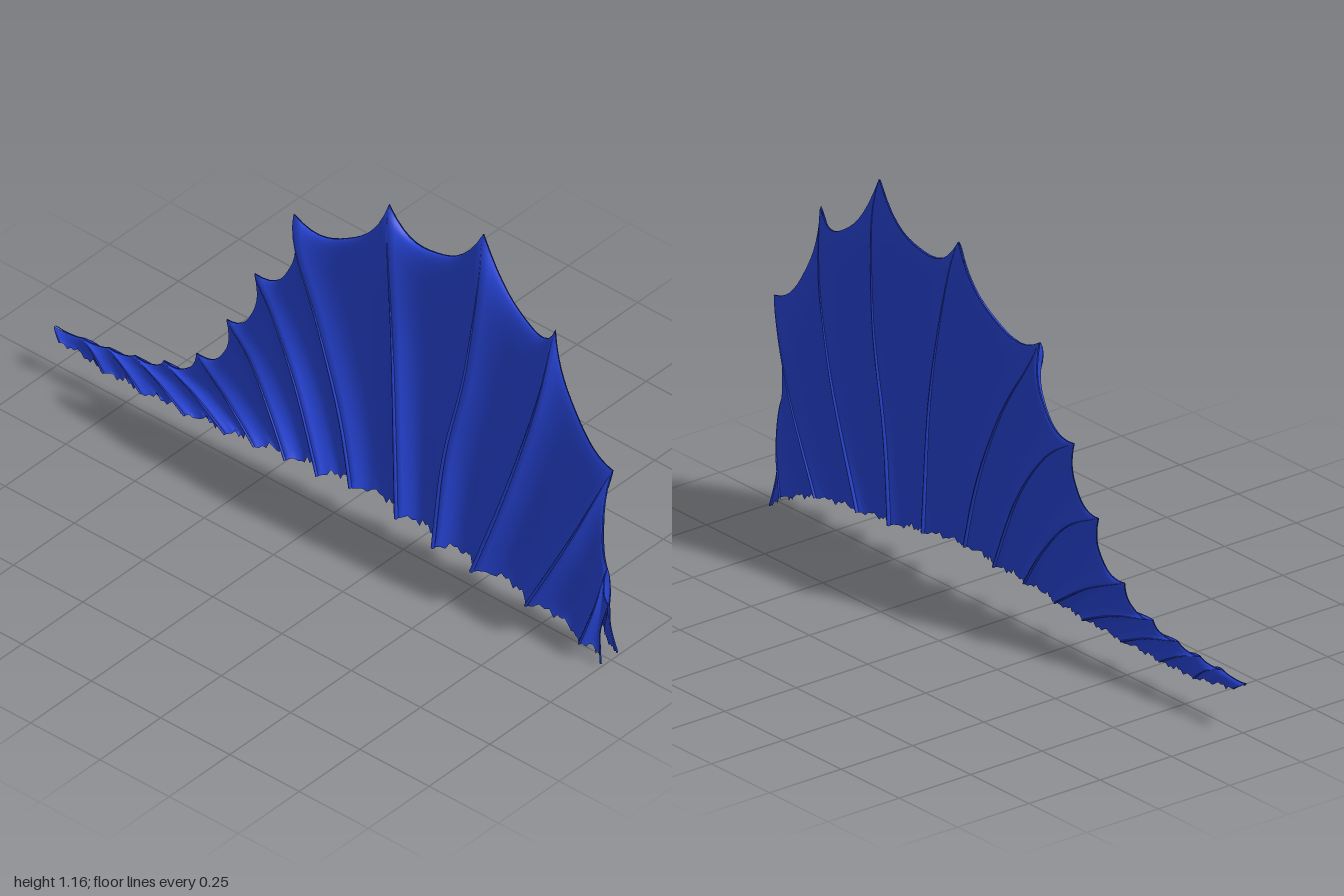
import * as THREE from 'three';

// Fin rays from front to back: [z, y] points from base to tip
const rays = [
  [[0.99, 0.005], [0.98, 0.1], [1.0, 0.2]],
  [[0.93, 0.055], [0.965, 0.18], [0.985, 0.31]],
  [[0.76, 0.115], [0.88, 0.37], [0.985, 0.63]],
  [[0.57, 0.14], [0.66, 0.43], [0.735, 0.75], [0.755, 0.98]],
  [[0.43, 0.15], [0.445, 0.45], [0.485, 0.72], [0.5, 1.02], [0.48, 1.16]],
  [[0.29, 0.175], [0.26, 0.5], [0.22, 0.75], [0.17, 0.99], [0.14, 1.09]],
  [[0.12, 0.19], [0.06, 0.4], [-0.05, 0.65], [-0.155, 0.82], [-0.19, 0.9]],
  [[0.0, 0.17], [-0.1, 0.4], [-0.22, 0.57], [-0.32, 0.64]],
  [[-0.12, 0.16], [-0.2, 0.28], [-0.3, 0.39], [-0.41, 0.445]],
  [[-0.24, 0.14], [-0.37, 0.225], [-0.51, 0.285]],
  [[-0.35, 0.125], [-0.48, 0.18], [-0.62, 0.21]],
  [[-0.5, 0.11], [-0.61, 0.155], [-0.72, 0.18]],
  [[-0.66, 0.103], [-0.74, 0.145], [-0.81, 0.165]],
  [[-0.8, 0.1], [-0.85, 0.14], [-0.9, 0.155]],
  [[-0.96, 0.122], [-0.98, 0.135], [-1.0, 0.147]],
].map(r => new THREE.SplineCurve(r.map(p => new THREE.Vector2(...p))));

// Scallop offset [z, y] at the middle of the free edge of each panel
const sags = [
  [-0.015, -0.02], [-0.025, -0.02], [-0.03, -0.055], [0.02, -0.115], [0, -0.115],
  [0.02, -0.09], [0.055, -0.06], [0.04, -0.04], [0.04, -0.04], [0.02, -0.03],
  [0.012, -0.016], [0, -0.01], [0, -0.008], [0, -0.006],
];

// x of the tip, left base and right base for each ray
const tipX = [-0.01, 0, 0.025, 0.05, 0.068, 0.068, 0.052, 0.037, 0.025, 0.015, 0.005, 0, -0.005, -0.01, -0.012];
const leftX = [0.035, 0.05, 0.065, 0.072, 0.075, 0.07, 0.062, 0.058, 0.05, 0.04, 0.032, 0.02, 0.015, 0.01, 0];
const rightX = [-0.03, -0.052, -0.078, -0.085, -0.083, -0.075, -0.07, -0.07, -0.065, -0.055, -0.05, -0.045, -0.042, -0.038, -0.035];

const ACROSS = 14, ALONG = 28;
const mix = THREE.MathUtils.lerp;
const material = new THREE.MeshStandardMaterial({ color: 0x2846dc, side: THREE.DoubleSide });

// Ragged wobble of the torn lower edge
const ragged = s => Math.sin(s * 9.7) * 0.5 + Math.sin(s * 23.3 + 1) * 0.5;

// Point on one side of the fin; s counts rays, t runs from base to tip
function finPoint(s, t, side) {
  const i = Math.min(Math.floor(s), rays.length - 2), u = s - i;
  const a = rays[i].getPoint(t), b = rays[i + 1].getPoint(t);
  const arch = 1 - Math.abs(2 * u - 1) ** 2.7;
  const sag = arch * t ** 2.5;
  const left = mix(leftX[i], leftX[i + 1], u), right = mix(rightX[i], rightX[i + 1], u);
  const tip = mix(tipX[i], tipX[i + 1], u);
  const taper = 1 - t ** 1.25;
  // panels sink between the ribs, deeper on the right side, and flare out at the base
  const depth = side > 0 ? 0.14 : 0.36 - 0.06 * (1 - t) ** 8;
  const hollow = arch * taper * (left - right) * depth;
  const belly = side > 0 ? 0.012 * Math.sin(Math.PI * t) * Math.min(1, a.y * 2) : 0;
  const tear = (side > 0 ? 0.012 : 0.018) * ragged(s * 1.7 + side) * (1 - t) ** 10 * arch;
  return new THREE.Vector3(
    mix(tip, side > 0 ? left : right, taper) + side * (belly - hollow + 0.0015),
    mix(a.y, b.y, u) + sag * sags[i][1] + tear,
    mix(a.x, b.x, u) + sag * sags[i][0]);
}

// Scalloped membrane of one side
function membraneGeometry(side) {
  const cols = (rays.length - 1) * ACROSS, pos = [], index = [];
  for (let c = 0; c <= cols; c++)
    for (let r = 0; r <= ALONG; r++) pos.push(...finPoint(c / ACROSS, r / ALONG, side).toArray());
  for (let c = 0; c < cols; c++)
    for (let r = 0; r < ALONG; r++) {
      const a = c * (ALONG + 1) + r, b = a + ALONG + 1;
      if (side < 0) index.push(a, a + 1, b, b, a + 1, b + 1);
      else index.push(a, b, a + 1, b, b + 1, a + 1);
    }
  const g = new THREE.BufferGeometry();
  g.setAttribute('position', new THREE.Float32BufferAttribute(pos, 3));
  g.setIndex(index);
  g.computeVertexNormals();
  return g;
}

// Slim tapered rib lying on a ray
function ribGeometry(i, side) {
  const pts = [];
  for (let k = 0; k <= 10; k++) pts.push(finPoint(i, k / 10, side));
  const curve = new THREE.CatmullRomCurve3(pts);
  const steps = 24, radial = 6;
  const r = 0.002 + 0.004 * Math.min(1, curve.getLength());
  const g = new THREE.TubeGeometry(curve, steps, r, radial);
  const p = g.attributes.position, v = new THREE.Vector3();
  for (let k = 0; k < p.count; k++) {
    const t = Math.floor(k / (radial + 1)) / steps;
    v.fromBufferAttribute(p, k).lerp(curve.getPointAt(t), 0.95 * t ** 1.5);
    p.setXYZ(k, v.x, v.y, v.z);
  }
  g.computeVertexNormals();
  return g;
}

export function createModel() {
  const model = new THREE.Group();
  model.name = 'sailFin';
  const add = (name, geometry) => {
    const mesh = new THREE.Mesh(geometry, material);
    mesh.name = name;
    model.add(mesh);
  };
  for (const side of [1, -1]) {
    const label = side > 0 ? 'left' : 'right';
    add(label + 'Membrane', membraneGeometry(side));
    for (let i = 0; i < rays.length; i++) add(label + 'Rib' + (i + 1), ribGeometry(i, side));
  }
  return model;
}
